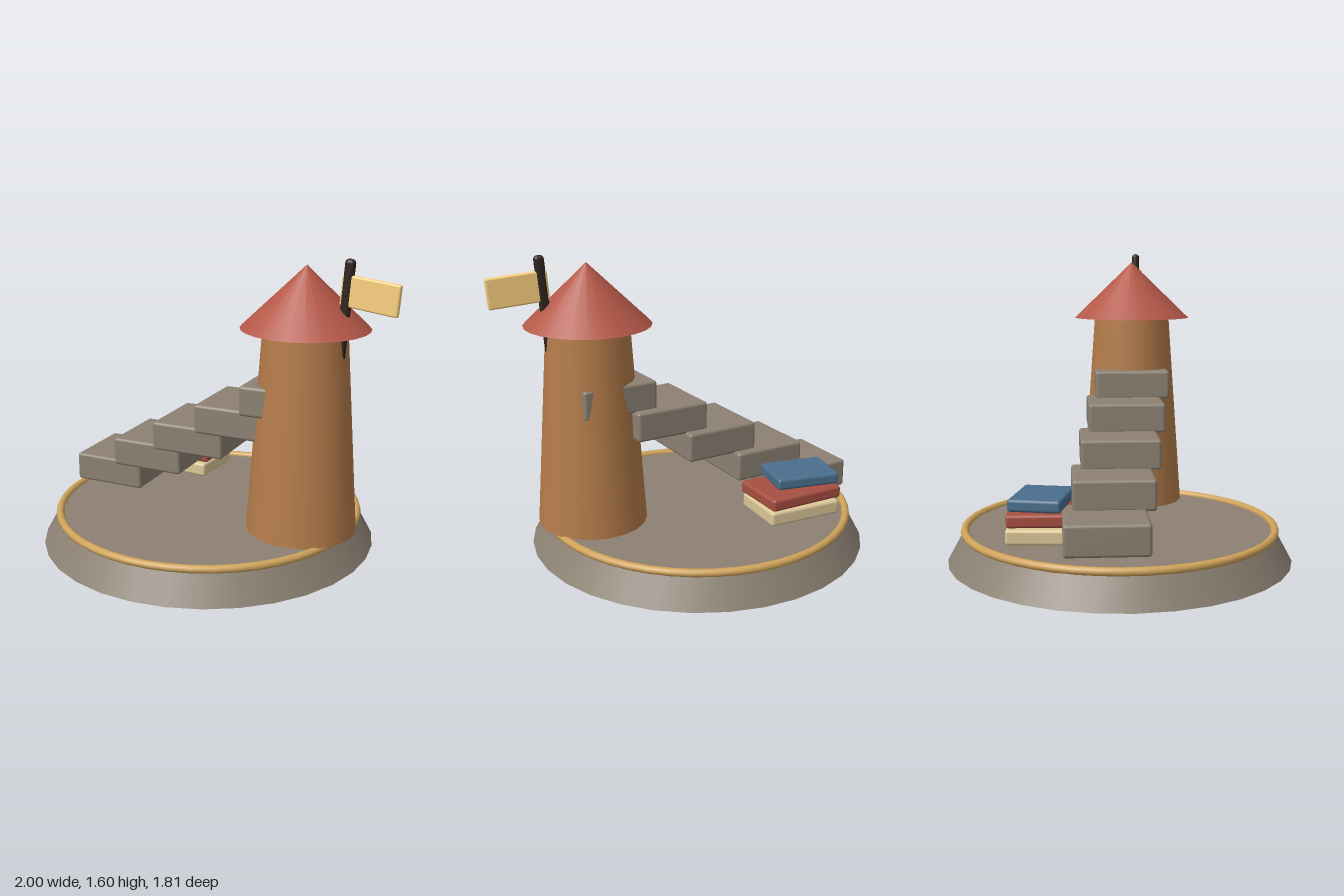
import * as THREE from 'three';
import { RoundedBoxGeometry } from 'three/addons/geometries/RoundedBoxGeometry.js';

const material = (color) => new THREE.MeshStandardMaterial({ color });
const stone = material(0x8c8173);
const wood = material(0xb57c4a);
const roofRed = material(0xb45848);
const brass = material(0xcfa35a);
const dark = material(0x2e241e);
const cloth = material(0xfad080);

export function createModel() {
  const model = new THREE.Group();

  const add = (name, geometry, mat, x, y, z = 0) => {
    const mesh = new THREE.Mesh(geometry, mat);
    mesh.name = name;
    mesh.position.set(x, y, z);
    model.add(mesh);
    return mesh;
  };
  const block = (w, h, d, bevel) => new RoundedBoxGeometry(w, h, d, 3, bevel);

  // Round tapered base with a rim ring standing proud of the floor
  add('base', new THREE.CylinderGeometry(0.816, 0.905, 0.162, 32), stone, -0.096, 0.081);
  const ring = add('rimRing', new THREE.TorusGeometry(0.815, 0.021, 10, 48), brass, -0.095, 0.164);
  ring.rotation.x = Math.PI / 2;

  // Tower and conical roof
  add('tower', new THREE.CylinderGeometry(0.212, 0.287, 1.07, 20), wood, 0.497, 0.714);
  add('roof', new THREE.ConeGeometry(0.326, 0.313, 24), roofRed, 0.497, 1.392);

  // Leaning post and its flag
  const lean = -0.087;
  const pole = add('flagPole', block(0.052, 0.64, 0.042, 0.02), dark, 0.707, 1.278);
  pole.rotation.z = lean;
  const flag = add('flag', block(0.305, 0.155, 0.03, 0.01), cloth, 0.843, 1.434);
  flag.rotation.z = lean;

  // Floating steps climbing into the tower
  for (let i = 0; i < 5; i++) {
    const step = add(`step${i + 1}`, block(0.408, 0.155, 0.408, 0.016), stone,
      -0.686 + i * 0.277, 0.297 + i * 0.1445);
    step.rotation.y = 0.175;
  }

  // Stack of books: name, colour, width, height, depth, x, y, z, turn
  const books = [
    ['lowerBook', 0xdcc898, 0.409, 0.077, 0.312, -0.499, 0.25, -0.345, 0.1],
    ['middleBook', 0xa84f42, 0.424, 0.065, 0.319, -0.497, 0.331, -0.345, 0.15],
    ['upperBook', 0x4a6e8c, 0.342, 0.062, 0.261, -0.552, 0.407, -0.33, -0.05],
  ];
  for (const [name, color, w, h, d, x, y, z, turn] of books) {
    add(name, block(w, h, d, 0.016), material(color), x, y, z).rotation.y = turn;
  }

  return model;
}
